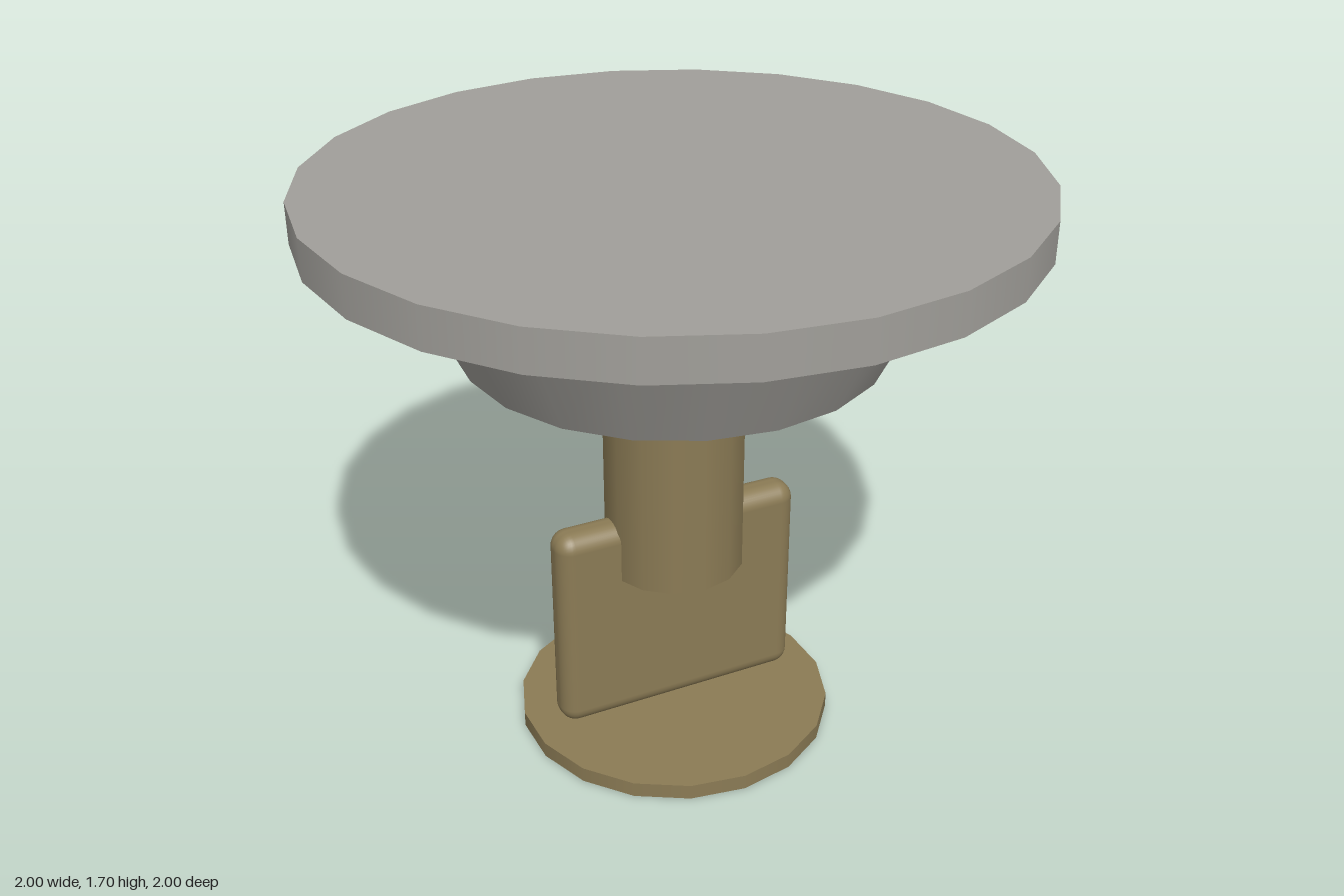
import * as THREE from 'three';
import { RoundedBoxGeometry } from 'three/addons/geometries/RoundedBoxGeometry.js';

export function createModel() {
  const model = new THREE.Group();
  const steel = new THREE.MeshStandardMaterial({ name: 'grey steel', color: 0xa19f9a });
  const brass = new THREE.MeshStandardMaterial({ name: 'dull brass', color: 0x8b7b55 });

  const add = (name, geometry, material, y) => {
    const mesh = new THREE.Mesh(geometry, material);
    mesh.name = name;
    mesh.position.y = y;
    model.add(mesh);
  };

  // Upright round part between two heights
  const disc = (name, material, rTop, rBottom, y0, y1, sides) =>
    add(name, new THREE.CylinderGeometry(rTop, rBottom, y1 - y0, sides), material, (y0 + y1) / 2);

  // Wide head: flat rim over a tapered collar
  disc('rim', steel, 1, 1, 1.588, 1.702, 24);
  disc('collar', steel, 0.766, 0.592, 1.232, 1.588, 20);

  // Stem reaching down over the blade
  disc('stem', brass, 0.205, 0.205, 0.528, 1.232, 14);

  // Thin rounded blade
  add('blade', new RoundedBoxGeometry(0.764, 0.647, 0.114, 4, 0.05), brass, 0.378);

  // Foot disc just below the blade
  disc('foot', brass, 0.47, 0.47, 0, 0.046, 18);

  return model;
}
